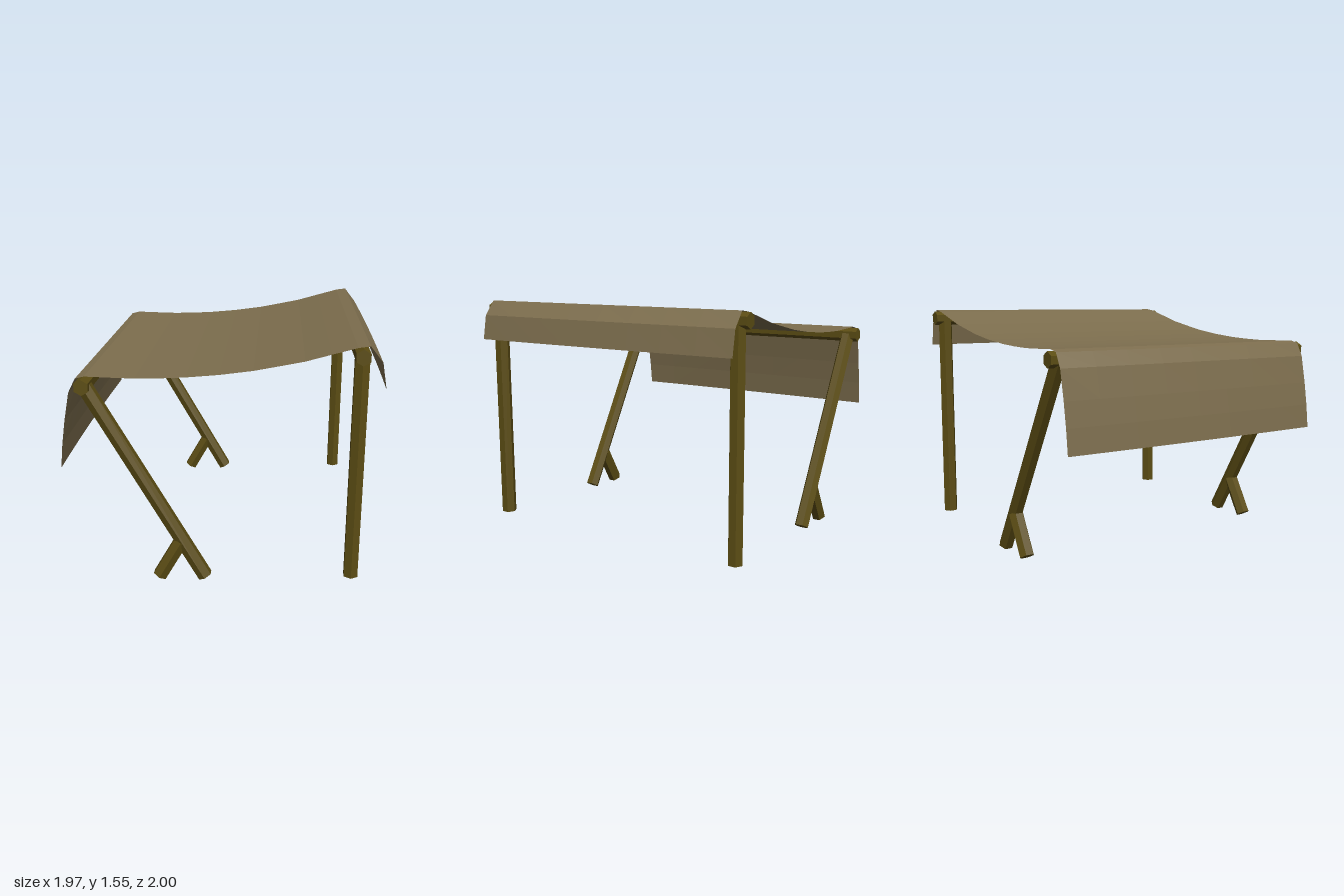
import * as THREE from 'three';

const wood = new THREE.MeshStandardMaterial({ color: 0x5c4d14, flatShading: true });
const cloth = new THREE.MeshStandardMaterial({ color: 0x7d6e4e, flatShading: true, side: THREE.DoubleSide });
const R = 0.049;

// Six-sided pole between two points
function pole(name, a, b) {
  const from = new THREE.Vector3(...a), to = new THREE.Vector3(...b);
  const dir = to.clone().sub(from);
  const mesh = new THREE.Mesh(new THREE.CylinderGeometry(R, R, dir.length(), 6), wood);
  mesh.name = name;
  mesh.position.copy(from).add(to).multiplyScalar(0.5);
  mesh.quaternion.setFromUnitVectors(new THREE.Vector3(0, 1, 0), dir.normalize());
  return mesh;
}

// Sagging sheet: a profile in x/y swept along z, its hems bowing slightly outwards
function canopy() {
  const profile = [
    [-0.975, 0.765], [-0.958, 0.92], [-0.935, 1.07], [-0.9, 1.25], [-0.855, 1.338], [-0.8, 1.352],
    [-0.65, 1.348], [-0.5, 1.345], [-0.35, 1.349], [-0.2, 1.357], [0, 1.376], [0.2, 1.404],
    [0.35, 1.434], [0.5, 1.465], [0.65, 1.508], [0.8, 1.55], [0.87, 1.56], [0.945, 1.465], [0.973, 1.305],
  ];
  const nz = 8, half = 0.963;
  const geo = new THREE.PlaneGeometry(1, 1, profile.length - 1, nz);
  const pos = geo.attributes.position;
  for (let j = 0; j <= nz; j++) {
    const t = (j / nz) * 2 - 1;
    profile.forEach(([x, y], i) => {
      const hang = Math.max(0, (Math.abs(x) - 0.87) / 0.1);
      const bow = 0.011 * hang * (1 - t * t);
      pos.setXYZ(j * profile.length + i, x + Math.sign(x) * bow, y, t * half - 0.006);
    });
  }
  geo.computeVertexNormals();
  const mesh = new THREE.Mesh(geo, cloth);
  mesh.name = 'canopy';
  return mesh;
}

export function createModel() {
  const group = new THREE.Group();
  group.name = 'sunShelter';

  // Cross rails carrying the sheet
  group.add(pole('leftRail', [0.828, 1.502, -1], [0.828, 1.502, 1]));
  group.add(pole('rightRail', [-0.812, 1.294, -1], [-0.812, 1.294, 1]));

  // Upright post, slanted leg and short brace at each end
  for (const [end, z] of [['front', 0.932], ['back', -0.922]]) {
    group.add(pole(end + 'Post', [0.828, 0.067, z], [0.828, 1.5, z]));
    group.add(pole(end + 'SlantedLeg', [-0.095, 0.032, z], [-0.812, 1.294, z]));
    group.add(pole(end + 'Brace', [-0.386, 0.027, z], [-0.245, 0.275, z]));
  }

  group.add(canopy());
  return group;
}
